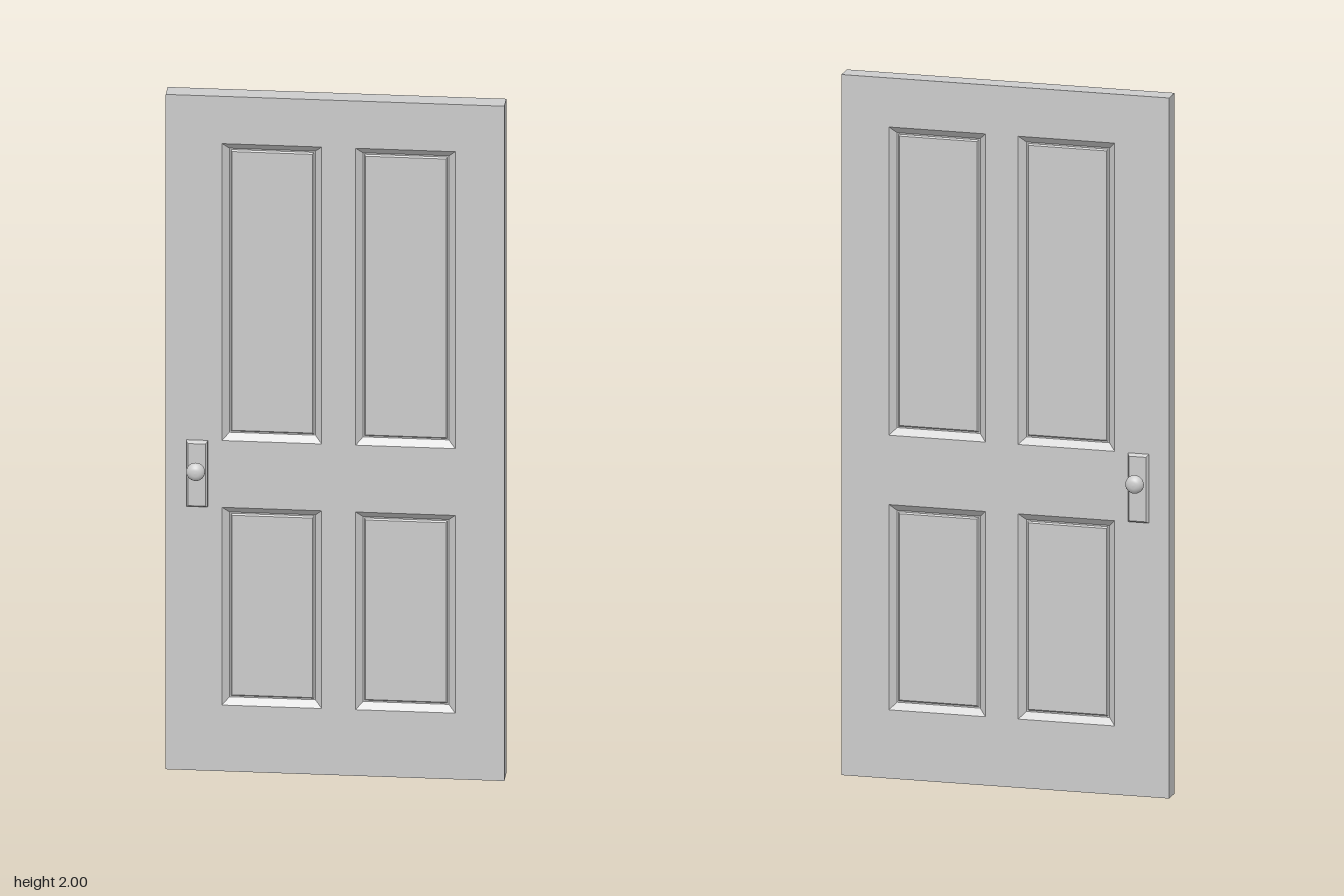
import * as THREE from 'three';

const material = new THREE.MeshStandardMaterial({ color: 0xcccccc, side: THREE.DoubleSide });
const W = 0.938, H = 2, HALF = 0.028;

// Rectangular outline w x h stepped inward by [inset, z] pairs, closed by a flat cap; faces +z
function steppedRect(w, h, steps) {
  const pos = [];
  const ring = ([inset, z]) => {
    const x = w / 2 - inset, y = h / 2 - inset;
    return [[-x, -y, z], [x, -y, z], [x, y, z], [-x, y, z]];
  };
  const quad = (a, b, c, d) => pos.push(...a, ...b, ...c, ...a, ...c, ...d);
  const rings = steps.map(ring);
  for (let i = 0; i + 1 < rings.length; i++) {
    for (let k = 0; k < 4; k++) {
      const n = (k + 1) % 4;
      quad(rings[i][k], rings[i][n], rings[i + 1][n], rings[i + 1][k]);
    }
  }
  quad(...rings[rings.length - 1]);
  const g = new THREE.BufferGeometry();
  g.setAttribute('position', new THREE.Float32BufferAttribute(pos, 3));
  g.computeVertexNormals();
  return g;
}

export function createModel() {
  const door = new THREE.Group();
  door.name = 'panelDoor';

  const add = (geometry, name, parent = door) => {
    const mesh = new THREE.Mesh(geometry, material);
    mesh.name = name;
    parent.add(mesh);
    return mesh;
  };

  // Four panel openings: two columns, tall above and short below
  const panels = [];
  for (const x of [-0.175, 0.195]) {
    panels.push({ x, y: 1.42, w: 0.276, h: 0.88, name: 'upperPanel' });
    panels.push({ x, y: 0.489, w: 0.276, h: 0.586, name: 'lowerPanel' });
  }

  // Door slab with openings cut through
  const rect = (Type, x, y, w, h) => new Type([
    new THREE.Vector2(x - w / 2, y - h / 2), new THREE.Vector2(x + w / 2, y - h / 2),
    new THREE.Vector2(x + w / 2, y + h / 2), new THREE.Vector2(x - w / 2, y + h / 2)]);
  const slab = rect(THREE.Shape, 0, H / 2, W, H);
  slab.holes = panels.map(p => rect(THREE.Path, p.x, p.y, p.w, p.h));
  const slabGeometry = new THREE.ExtrudeGeometry(slab, { depth: 2 * HALF, bevelEnabled: false });
  add(slabGeometry.translate(0, 0, -HALF), 'doorFrame');

  // Sloped moulding, then a slightly raised field
  const panelSteps = [[0, HALF], [0.019, 0.012], [0.023, 0.012], [0.027, 0.017]];

  // Lock plate with chamfered rim
  const plateGeometry = steppedRect(0.06, 0.196, [[0, HALF - 0.002], [0.001, 0.035], [0.006, 0.042]]);

  // Knob turned around its axis: collar, stem, rounded grip
  const profile = [
    [0.012, 0.041], [0.012, 0.044], [0.008, 0.047], [0.007, 0.053], [0.010, 0.058],
    [0.017, 0.060], [0.023, 0.064], [0.026, 0.070], [0.0255, 0.076], [0.022, 0.082],
    [0.016, 0.087], [0.009, 0.0895], [0, 0.09],
  ].map(([r, z]) => new THREE.Vector2(r, z));
  const knobGeometry = new THREE.LatheGeometry(profile, 28).rotateX(Math.PI / 2);

  // Same panels and hardware on both faces
  for (const side of ['front', 'back']) {
    const turn = side === 'front' ? 0 : Math.PI;
    for (const p of panels) {
      const mesh = add(steppedRect(p.w, p.h, panelSteps), `${side} ${p.name}`);
      mesh.position.set(p.x, p.y, 0);
      mesh.rotation.y = turn;
    }
    const handle = new THREE.Group();
    handle.name = `${side} handle`;
    handle.position.set(-0.382, 0, 0);
    handle.rotation.y = turn;
    add(plateGeometry, 'lockPlate', handle).position.y = 0.881;
    add(knobGeometry, 'knob', handle).position.y = 0.902;
    door.add(handle);
  }

  return door;
}
